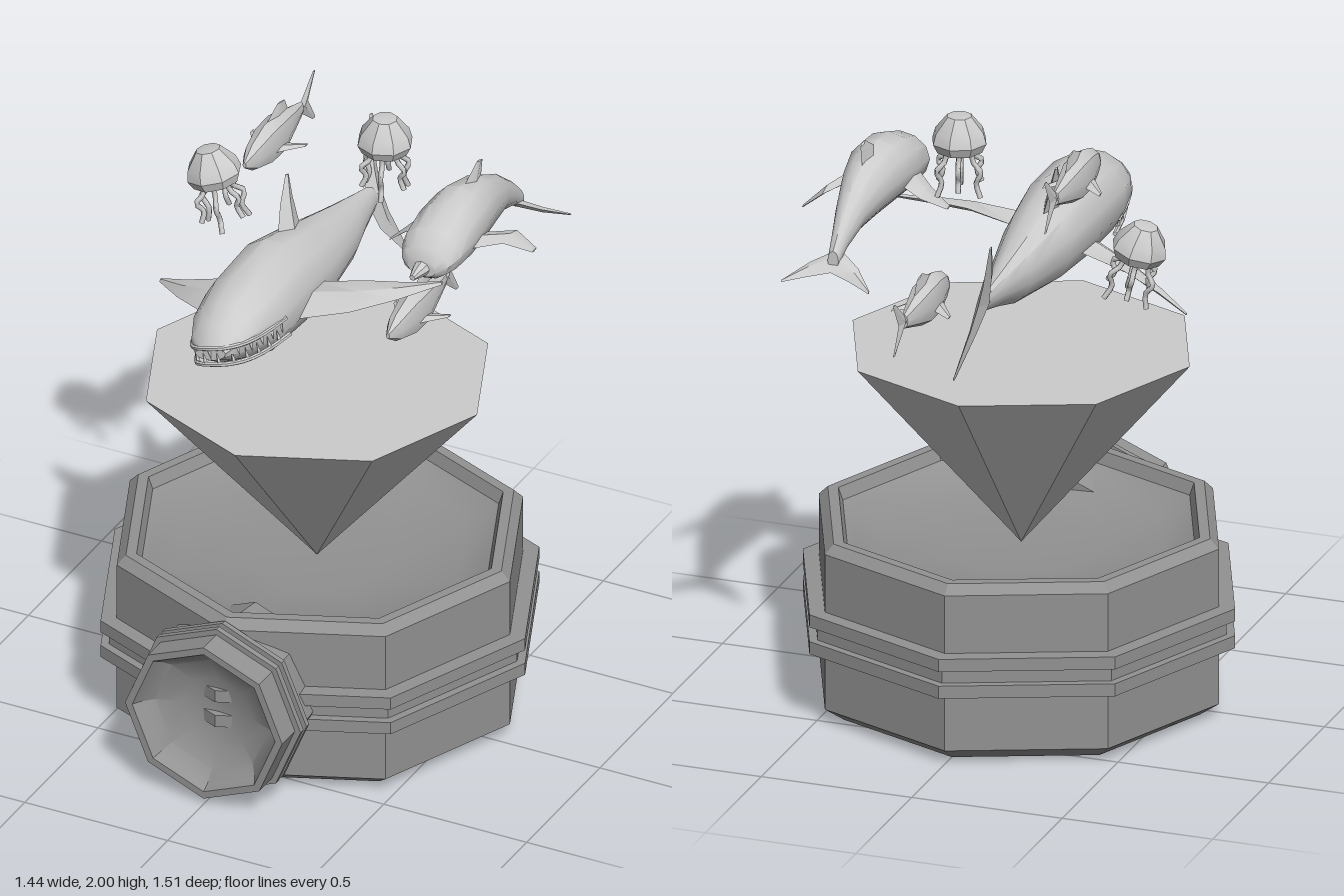
import * as THREE from 'three';
import { toCreasedNormals } from 'three/addons/utils/BufferGeometryUtils.js';

const V = (x, y, z) => new THREE.Vector3(x, y, z);

export function createModel() {
  const model = new THREE.Group();
  const baseGrey = new THREE.MeshStandardMaterial({ color: 0x929292 });
  baseGrey.name = 'base grey';
  const paleGrey = new THREE.MeshStandardMaterial({ color: 0xcccccc });
  paleGrey.name = 'pale grey';

  function add(parent, name, geo, mat = paleGrey, crease = 0.6) {
    const mesh = new THREE.Mesh(toCreasedNormals(geo, crease), mat);
    mesh.name = name;
    parent.add(mesh);
    return mesh;
  }

  function group(name, x, y, z) {
    const g = new THREE.Group();
    g.name = name;
    g.position.set(x, y, z);
    model.add(g);
    return g;
  }

  // Eight-sided turned part from [radius, height] pairs
  const octagon = (pts) => new THREE.LatheGeometry(pts.map(p => new THREE.Vector2(p[0], p[1])), 8);

  // Closed skin over rings of [centre, half-axis u, half-axis v]
  function loft(rings, n) {
    const pos = [], idx = [];
    for (const [c, u, v] of rings) {
      for (let i = 0; i < n; i++) {
        const a = i / n * Math.PI * 2;
        const p = c.clone().addScaledVector(u, Math.cos(a)).addScaledVector(v, Math.sin(a));
        pos.push(p.x, p.y, p.z);
      }
    }
    const m = rings.length;
    for (let r = 0; r < m - 1; r++) {
      for (let i = 0; i < n; i++) {
        const a = r * n + i, b = r * n + (i + 1) % n;
        idx.push(a, b, b + n, a, b + n, a + n);
      }
    }
    for (let i = 1; i < n - 1; i++) {
      idx.push(0, i + 1, i);
      const k = (m - 1) * n;
      idx.push(k, k + i, k + i + 1);
    }
    // Turn the skin outward if its signed volume is negative
    const at = i => V(pos[i * 3], pos[i * 3 + 1], pos[i * 3 + 2]);
    let vol = 0;
    for (let i = 0; i < idx.length; i += 3) vol += at(idx[i]).dot(at(idx[i + 1]).cross(at(idx[i + 2])));
    if (vol < 0) idx.reverse();
    const g = new THREE.BufferGeometry();
    g.setAttribute('position', new THREE.Float32BufferAttribute(pos, 3));
    g.setIndex(idx);
    return g;
  }

  // Body rows: [z, top, bottom, half width]
  const body = (rows, n = 12) => loft(rows.map(([z, t, b, w]) =>
    [V(0, (t + b) / 2, z), V(w, 0, 0), V(0, (t - b) / 2, 0)]), n);

  // Fin stations: [leading point, trailing point, half thickness]; thin along axis
  const fin = (stations, axis) => loft(stations.map(([a, b, t]) => {
    const p = V(...a), q = V(...b);
    return [p.clone().add(q).multiplyScalar(0.5), q.clone().sub(p).multiplyScalar(0.5), axis.clone().multiplyScalar(t)];
  }), 4);
  const X = V(1, 0, 0), Y = V(0, 1, 0);

  // Octagonal base with banding and a shallow dish on top
  const base = group('base', 0, 0, -0.04);
  add(base, 'basin', octagon([[0, 0.005], [0.6, 0.005], [0.665, 0.05], [0.665, 0.57], [0.635, 0.6],
    [0.6, 0.6], [0.585, 0.56], [0.56, 0.55], [0.48, 0.515], [0.25, 0.495], [0, 0.49]]), baseGrey, 0.5);
  add(base, 'bands', octagon([[0.65, 0.245], [0.718, 0.245], [0.718, 0.287], [0.69, 0.287], [0.69, 0.335],
    [0.718, 0.335], [0.718, 0.377], [0.65, 0.377]]), baseGrey, 0.5);

  // Front lens barrel, turned to face forward
  const lens = group('lens', 0, 0.3, 0);
  lens.rotation.x = Math.PI / 2;
  add(lens, 'lensBarrel', octagon([[0, 0.4], [0.25, 0.4], [0.275, 0.56], [0.275, 0.61], [0.295, 0.61],
    [0.295, 0.628], [0.275, 0.628], [0.275, 0.648], [0.295, 0.648], [0.295, 0.668], [0.275, 0.668],
    [0.275, 0.755], [0.25, 0.755], [0.235, 0.73], [0.2, 0.695], [0.12, 0.665], [0, 0.65]]), baseGrey, 0.5);

  // Projected beam
  const beam = group('beam', 0, 0, -0.02);
  add(beam, 'beamCone', octagon([[0, 0.495], [0.56, 1.16], [0, 1.16]]), paleGrey, 0.4);

  // Whale, rolled to one side
  const whale = group('whale', -0.075, 1.53, 0);
  whale.rotation.z = 0.26;
  add(whale, 'whaleBody', body([[0.565, 0.02, -0.03, 0.055], [0.52, 0.075, -0.06, 0.09], [0.45, 0.115, -0.09, 0.118],
    [0.33, 0.147, -0.135, 0.14], [0.11, 0.16, -0.15, 0.136], [-0.07, 0.12, -0.152, 0.115],
    [-0.29, 0.065, -0.13, 0.07], [-0.42, 0.035, -0.09, 0.04], [-0.54, 0.01, -0.06, 0.016]]));
  add(whale, 'whaleDorsalFin', fin([[[0, 0.11, 0.05], [0, 0.1, -0.1], 0.025],
    [[0, 0.21, -0.02], [0, 0.2, -0.1], 0.015], [[0, 0.28, -0.09], [0, 0.275, -0.11], 0.004]], X));
  for (const s of [-1, 1]) {
    add(whale, 'whaleSideFin', fin([[[s * 0.1, -0.065, 0.22], [s * 0.1, -0.03, 0.03], 0.03],
      [[s * 0.27, -0.07, 0.16], [s * 0.27, -0.03, 0.02], 0.018],
      [[s * 0.4, -0.07, 0.07], [s * 0.4, -0.045, 0], 0.012],
      [[s * 0.51, -0.065, -0.02], [s * 0.51, -0.06, -0.035], 0.004]], Y));
    add(whale, 'whaleTailFin', fin([[[0, -0.025 - s * 0.01, -0.49], [0, -0.025, -0.59], 0.02],
      [[0, -0.03 + s * 0.11, -0.53], [0, -0.03 + s * 0.08, -0.6], 0.012],
      [[0, -0.03 + s * 0.24, -0.63], [0, -0.03 + s * 0.235, -0.65], 0.003]], X));
  }

  // Mouth rim and teeth wrapped round the head
  const mouth = new THREE.CatmullRomCurve3([[-0.136, -0.04, 0.31], [-0.117, -0.035, 0.43], [-0.09, -0.025, 0.515],
    [-0.05, -0.015, 0.562], [0, -0.012, 0.572], [0.05, -0.015, 0.562], [0.09, -0.025, 0.515],
    [0.117, -0.035, 0.43], [0.136, -0.04, 0.31]].map(p => V(...p)));
  const outward = t => mouth.getTangentAt(t).cross(Y).normalize().negate();
  for (const dy of [-0.028, 0.028]) {
    const rings = [];
    for (let i = 0; i <= 24; i++) {
      const p = mouth.getPointAt(i / 24);
      p.y += dy;
      rings.push([p, V(0, 0.008, 0), outward(i / 24).multiplyScalar(0.008)]);
    }
    add(whale, 'lip', loft(rings, 6));
  }
  for (let i = 1; i < 26; i++) {
    const tooth = add(whale, 'tooth', new THREE.ConeGeometry(0.009, 0.04, 4));
    tooth.position.copy(mouth.getPointAt(i / 26)).addScaledVector(outward(i / 26), 0.004);
    tooth.position.y += i % 2 ? 0.008 : -0.008;
    if (i % 2) tooth.rotation.x = Math.PI;
  }

  // Dolphin, diving tail-down
  const dolphin = group('dolphin', 0.41, 0, 0);
  add(dolphin, 'dolphinBody', body([[0.065, 1.73, 1.67, 0.05], [0.045, 1.765, 1.655, 0.08], [0, 1.81, 1.645, 0.1],
    [-0.1, 1.845, 1.635, 0.105], [-0.2, 1.855, 1.64, 0.1], [-0.32, 1.83, 1.64, 0.078],
    [-0.44, 1.77, 1.635, 0.05], [-0.54, 1.69, 1.6, 0.028], [-0.6, 1.63, 1.565, 0.018]]));
  add(dolphin, 'dolphinBeak', body([[0.03, 1.73, 1.67, 0.035], [0.09, 1.72, 1.68, 0.022], [0.13, 1.708, 1.69, 0.01]], 8));
  add(dolphin, 'dolphinDorsalFin', fin([[[0, 1.83, -0.2], [0, 1.82, -0.34], 0.018],
    [[0.005, 1.89, -0.3], [0.005, 1.88, -0.34], 0.005]], X));
  for (const s of [-1, 1]) {
    const tipZ = s < 0 ? -0.13 : -0.27;
    add(dolphin, 'dolphinSideFin', fin([[[s * 0.08, 1.72, -0.06], [s * 0.08, 1.71, -0.2], 0.02],
      [[s * 0.15, 1.69, tipZ / 2 - 0.06], [s * 0.15, 1.685, tipZ / 2 - 0.16], 0.012],
      [[s * 0.215, 1.635, tipZ], [s * 0.215, 1.635, tipZ - 0.03], 0.004]], Y));
    add(dolphin, 'dolphinFluke', fin([[[-s * 0.01, 1.62, -0.53], [0, 1.565, -0.62], 0.015],
      [[s * 0.08, 1.58, -0.59], [s * 0.07, 1.55, -0.64], 0.01],
      [[s * 0.145, 1.54, -0.665], [s * 0.145, 1.535, -0.675], 0.003]], Y));
  }

  // Two small fish
  for (const [x, y] of [[-0.262, 1.835], [0.24, 1.352]]) {
    const fish = group('fish', x, y, 0);
    add(fish, 'fishBody', body([[-0.035, 0.008, -0.012, 0.006], [-0.09, 0.045, -0.05, 0.03], [-0.17, 0.07, -0.075, 0.044],
      [-0.26, 0.07, -0.075, 0.046], [-0.34, 0.045, -0.05, 0.03], [-0.42, 0.022, -0.025, 0.012]], 8));
    add(fish, 'fishDorsalFin', fin([[[0, 0.06, -0.17], [0, 0.05, -0.33], 0.012],
      [[0, 0.1, -0.26], [0, 0.09, -0.31], 0.003]], X));
    for (const s of [-1, 1]) {
      add(fish, 'fishSideFin', fin([[[s * 0.035, -0.02, -0.17], [s * 0.035, -0.025, -0.25], 0.01],
        [[s * 0.095, -0.03, -0.26], [s * 0.095, -0.032, -0.285], 0.003]], Y));
      add(fish, 'fishTailFin', fin([[[0, -s * 0.005, -0.39], [0, 0, -0.47], 0.01],
        [[0, s * 0.085, -0.5], [0, s * 0.085, -0.52], 0.002]], X));
    }
  }

  // Two jellyfish with wavy tentacles
  for (const [x, y, tilt] of [[0.12, 1.88, 0], [-0.47, 1.6, 0.26]]) {
    const jelly = group('jellyfish', x, y, -0.25);
    jelly.rotation.z = tilt;
    add(jelly, 'bell', octagon([[0, 0.03], [0.05, 0.015], [0.075, 0], [0.09, 0.03], [0.08, 0.065],
      [0.04, 0.115], [0, 0.12]]), paleGrey, 0.5);
    for (let i = 0; i < 6; i++) {
      const a = i / 6 * Math.PI * 2 + 0.3;
      const long = 1 - 0.2 * (i % 2);
      const path = new THREE.CatmullRomCurve3([[0.05, 0.03], [0.05, -0.03], [0.08, -0.06], [0.062, -0.1], [0.078, -0.145]]
        .map(([r, h]) => V(Math.sin(a) * r, h * long, Math.cos(a) * r)));
      add(jelly, 'tentacle', new THREE.TubeGeometry(path, 12, 0.009, 5), paleGrey, 1.4);
    }
  }
  return model;
}
